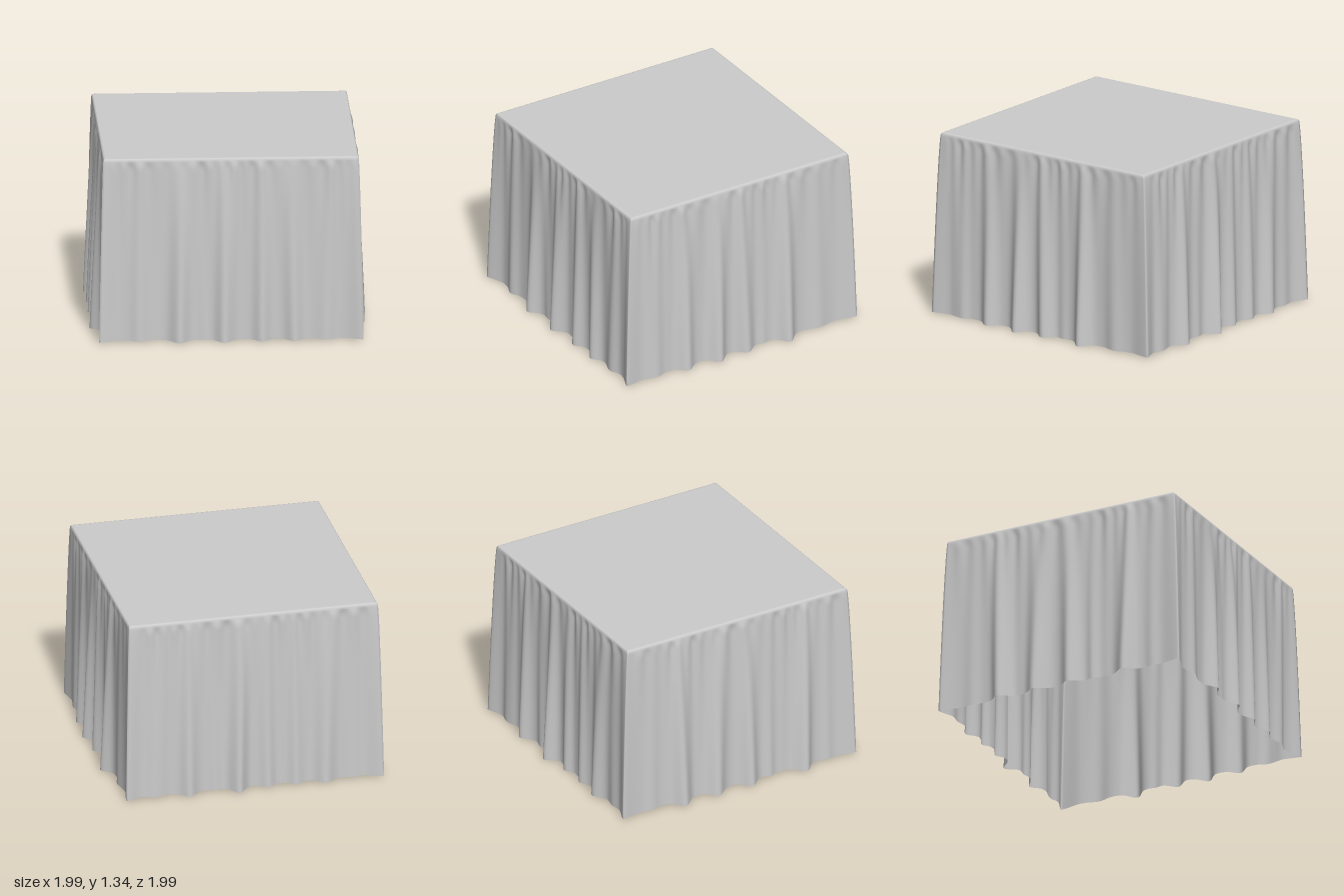
import * as THREE from 'three';

const TOP = 1.345, HALF = 0.913, SEG = 130;

// Each side: walking direction, outward direction, and hem folds as [position, depth, width]
const SIDES = [
  { along: [1, 0], out: [0, 1], folds: [[-0.66, 0.035, 0.07], [-0.37, 0.076, 0.065], [-0.2, 0.012, 0.04],
    [-0.05, 0.076, 0.065], [0.22, 0.056, 0.06], [0.45, 0.056, 0.06], [0.67, 0.035, 0.065]] },
  { along: [0, -1], out: [1, 0], folds: [[-0.66, 0.026, 0.08], [-0.38, 0.084, 0.065], [-0.2, 0.01, 0.04],
    [-0.04, 0.062, 0.06], [0.2, 0.077, 0.06], [0.46, 0.062, 0.06], [0.72, 0.026, 0.07]] },
  { along: [-1, 0], out: [0, -1], folds: [[-0.72, 0.015, 0.07], [-0.52, 0.062, 0.065], [-0.31, 0.042, 0.055],
    [-0.1, 0.042, 0.055], [0.12, 0.083, 0.06], [0.29, 0.012, 0.04], [0.48, 0.067, 0.065], [0.72, 0.03, 0.07]] },
  { along: [0, 1], out: [-1, 0], folds: [[-0.72, 0.015, 0.06], [-0.47, 0.08, 0.065], [-0.19, 0.074, 0.065],
    [0.09, 0.074, 0.06], [0.26, 0.02, 0.04], [0.53, 0.08, 0.065], [0.74, 0.015, 0.05]] },
];

// One point of the hanging cloth: side, position along it (-1..1), height, inset of the rounded rim
function clothPoint(side, k, u, y, inset) {
  const { along, out, folds } = side;
  const t = THREE.MathUtils.clamp((1.325 - y) / 1.32, 0, 1);
  const grow = Math.pow(t, 0.72);
  const base = HALF - inset;
  const s = u * base;
  const w = s * (along[0] + along[1]);
  const corner = Math.exp(-(((1 - Math.abs(u)) * base / 0.075) ** 2));

  // Large folds deepen and drift slightly on the way down
  let depth = 0;
  folds.forEach(([p, d, width], i) => {
    const x = w - p - 0.03 * Math.sin(i * 2.3 + k) * (1 - t);
    depth += d * Math.exp(-((x / width) ** 2));
  });
  // Small gathers below the rim, fading towards the hem
  const gather = Math.sin(w * 58 + 2 * Math.sin(w * 7 + k)) * 0.6 + Math.sin(w * 37 + k * 2) * 0.4;
  const rim = 0.012 * Math.min(1, t * 30) * Math.exp(-t * 4.5);
  const push = (depth * grow + gather * (rim + 0.002 * t)) * (1 - corner);

  // Corners flare a little more to front and back
  const onX = out[0] !== 0;
  const flareOut = (onX ? 0.032 : 0.055) * corner * grow;
  const flareAlong = (onX ? 0.055 : 0.032) * corner * grow * Math.sign(u);
  const o = base + push + flareOut, a = s + flareAlong;
  const drop = y < 0.02 ? 0.1 * Math.max(push, 0) : 0;
  return [along[0] * a + out[0] * o, y - drop, along[1] * a + out[1] * o];
}

function clothGeometry() {
  // Rows: rounded rim first, then the drop to the hem
  const rows = [[TOP, 0.03], [TOP, 0.016], [1.343, 0.008], [1.337, 0.003], [1.327, 0]];
  for (let j = 1; j <= 30; j++) rows.push([1.327 - 1.318 * Math.pow(j / 30, 1.4), 0]);
  const ring = SEG * 4, pos = [], idx = [];
  for (const [y, inset] of rows)
    SIDES.forEach((side, k) => {
      for (let i = 0; i < SEG; i++) pos.push(...clothPoint(side, k, -1 + 2 * i / SEG, y, inset));
    });
  for (let j = 0; j < rows.length - 1; j++)
    for (let i = 0; i < ring; i++) {
      const n = (i + 1) % ring;
      const a = j * ring + i, b = a + ring, c = (j + 1) * ring + n, d = j * ring + n;
      idx.push(a, b, c, a, c, d);
    }
  const g = new THREE.BufferGeometry();
  g.setAttribute('position', new THREE.Float32BufferAttribute(pos, 3));
  g.setIndex(idx);
  g.computeVertexNormals();
  return g;
}

export function createModel() {
  const model = new THREE.Group();
  model.name = 'tablecloth';
  const cloth = new THREE.MeshStandardMaterial({ color: 0xcccccc, side: THREE.DoubleSide });
  cloth.name = 'grey cloth';

  // Draped sides with rounded rim
  const drape = new THREE.Mesh(clothGeometry(), cloth);
  drape.name = 'drapedSides';

  // Flat top
  const size = 2 * (HALF - 0.03);
  const top = new THREE.Mesh(new THREE.PlaneGeometry(size, size).rotateX(-Math.PI / 2), cloth);
  top.name = 'clothTop';
  top.position.y = TOP;

  model.add(drape, top);
  return model;
}
